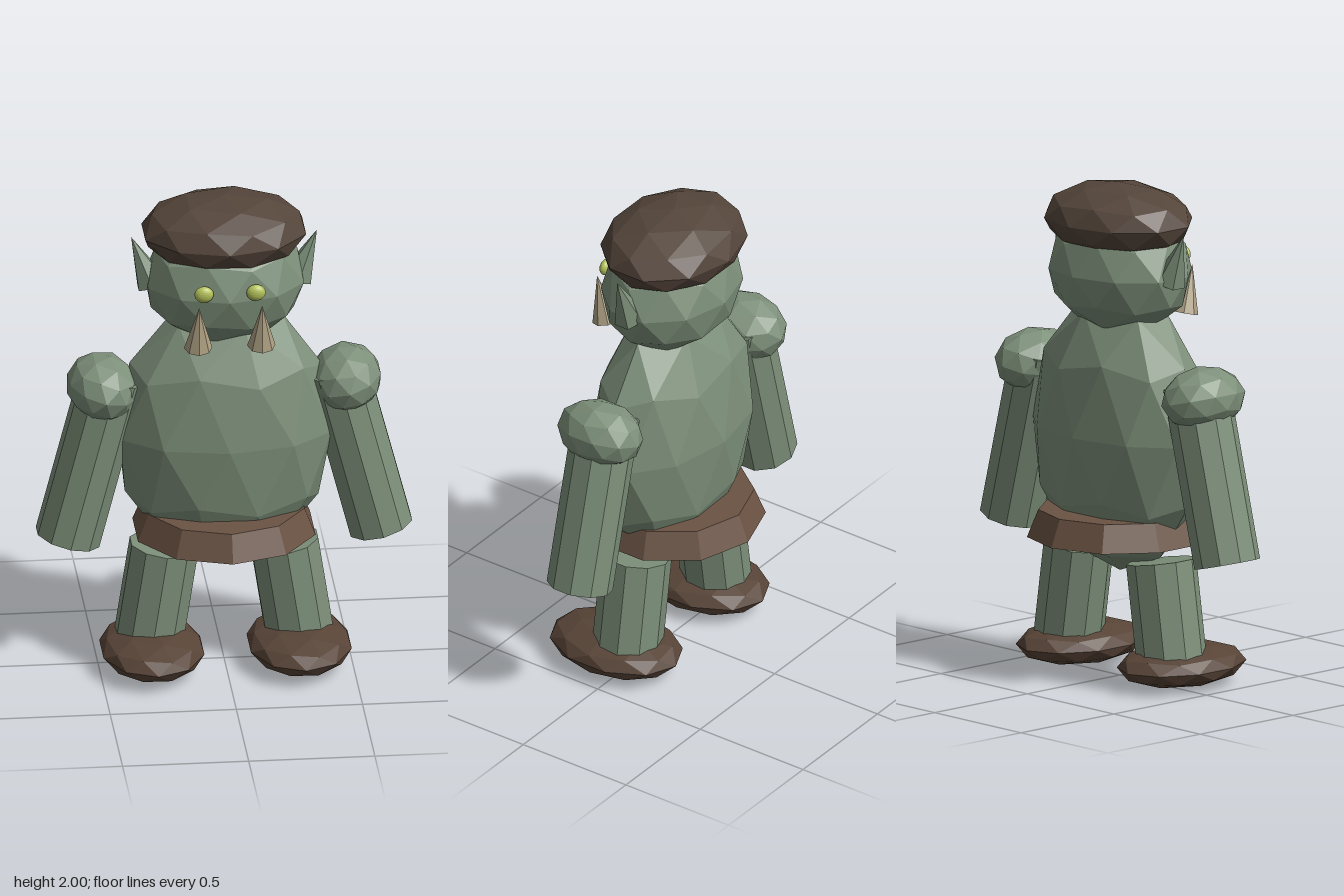
import * as THREE from 'three';

const material = (color) => new THREE.MeshStandardMaterial({ color, flatShading: true });

export function createModel() {
  const model = new THREE.Group();
  const skin = material(0x7d907a);
  const hatBrown = material(0x54453a);
  const shoeBrown = material(0x584437);
  const beltBrown = material(0x6b5344);
  const ivory = material(0xb0a284);
  const eyeYellow = material(0xb4c25a);

  const add = (name, geometry, mat, [x, y, z], rx = 0, rz = 0) => {
    const mesh = new THREE.Mesh(geometry, mat);
    mesh.name = name;
    mesh.position.set(x, y, z);
    mesh.rotation.set(rx, 0, rz);
    model.add(mesh);
    return mesh;
  };

  // faceted ellipsoid with a vertex at its pole
  const blob = (rx, ry, rz, detail = 1) =>
    new THREE.IcosahedronGeometry(1, detail)
      .rotateZ(-Math.atan(2 / (1 + Math.sqrt(5))))
      .scale(rx, ry, rz);

  // trunk and head
  add('torso', blob(0.44, 0.57, 0.257), skin, [0, 1.0, 0]);
  add('head', blob(0.325, 0.26, 0.257), skin, [0, 1.65, 0]);
  add('hat', blob(0.335, 0.145, 0.267), hatBrown, [0, 1.855, -0.01]);
  add('belt', new THREE.CylinderGeometry(0.325, 0.37, 0.11, 10), beltBrown, [0, 0.628, 0]);

  // paired parts
  for (const s of [1, -1]) {
    const side = s > 0 ? 'left' : 'right';
    add(side + 'Shoulder', blob(0.145, 0.13, 0.185), skin, [s * 0.482, 1.2, 0], 0, s * 0.25);
    add(side + 'Arm', new THREE.CylinderGeometry(0.132, 0.132, 0.72, 10), skin,
      [s * 0.53, 0.903, 0], 0, s * 0.253);
    add(side + 'Leg', new THREE.CylinderGeometry(0.14, 0.14, 0.41, 10), skin,
      [s * 0.269, 0.303, 0], 0, s * 0.153);
    add(side + 'Shoe', blob(0.21, 0.085, 0.29), shoeBrown, [s * 0.292, 0.09, 0.06]);

    add(side + 'Ear', new THREE.ConeGeometry(0.065, 0.215, 6), skin,
      [s * 0.328, 1.74, 0], 0, -s * 0.38);
    add(side + 'Tusk', new THREE.ConeGeometry(0.056, 0.195, 8), ivory,
      [s * 0.125, 1.55, 0.252], 0.23);
    add(side + 'Eye', blob(0.038, 0.034, 0.023, 3), eyeYellow, [s * 0.103, 1.688, 0.243]);
  }

  return model;
}
